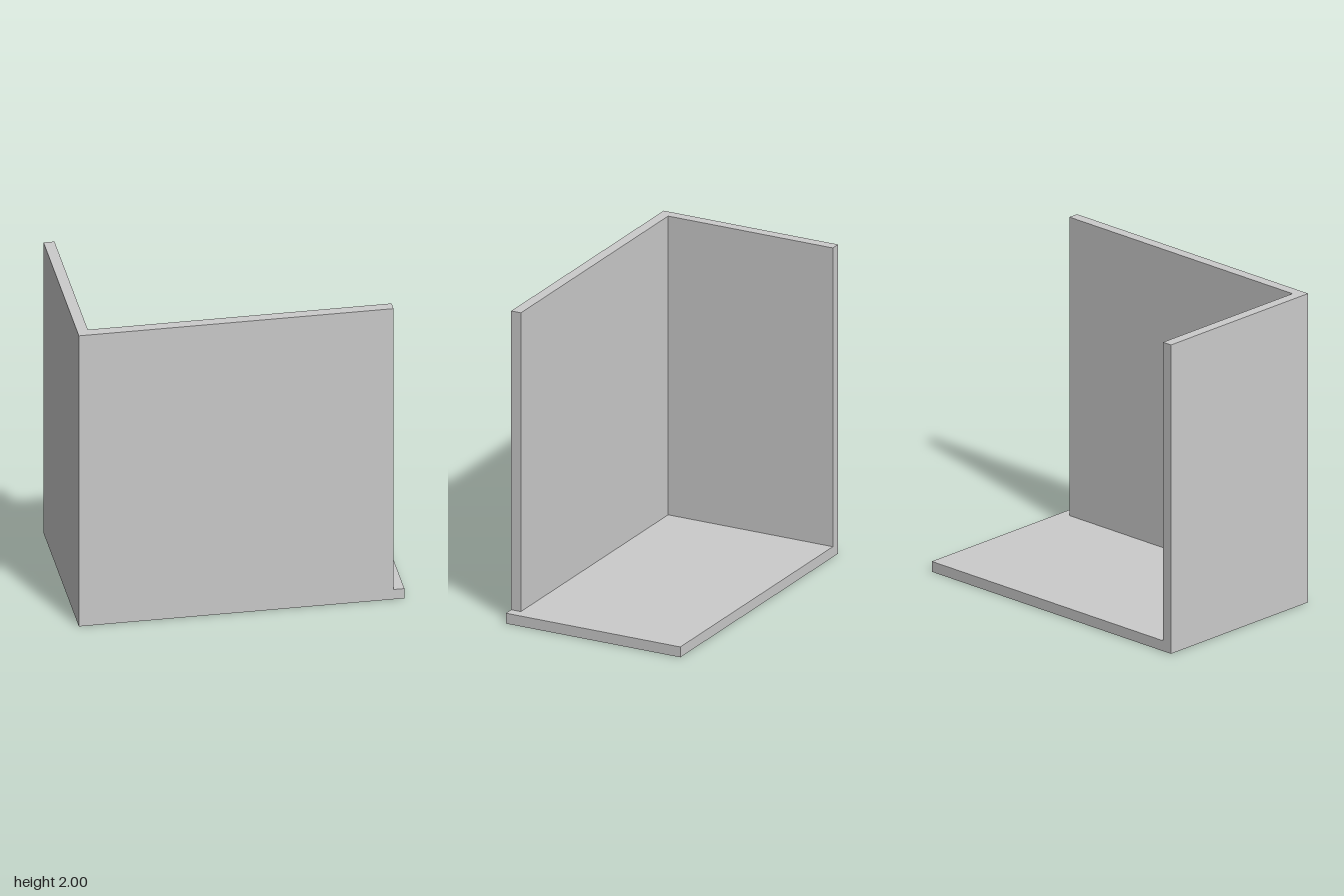
import * as THREE from 'three';

const T = 0.067; // panel thickness
const W = 2, H = 2, D = 1.2;

export function createModel() {
  const group = new THREE.Group();
  const material = new THREE.MeshStandardMaterial({ color: 0xcccccc, flatShading: true });

  // Flat floor panel
  const base = new THREE.Mesh(new THREE.BoxGeometry(W, T, D), material);
  base.name = 'basePanel';
  base.position.y = T / 2;
  group.add(base);

  // Front and side walls as one L-shaped plan (shape y is -z), raised upward
  const x0 = -W / 2, x1 = W / 2 - T, z0 = -D / 2, z1 = D / 2;
  const plan = new THREE.Shape(
    [[x0, z1], [x1, z1], [x1, z1 - T], [x0 + T, z1 - T], [x0 + T, z0], [x0, z0]]
      .map(([x, z]) => new THREE.Vector2(x, -z))
  );
  const wallGeometry = new THREE.ExtrudeGeometry(plan, { depth: H - T, bevelEnabled: false });
  wallGeometry.rotateX(-Math.PI / 2);
  const walls = new THREE.Mesh(wallGeometry, material);
  walls.name = 'cornerWalls';
  walls.position.y = T;
  group.add(walls);

  return group;
}
